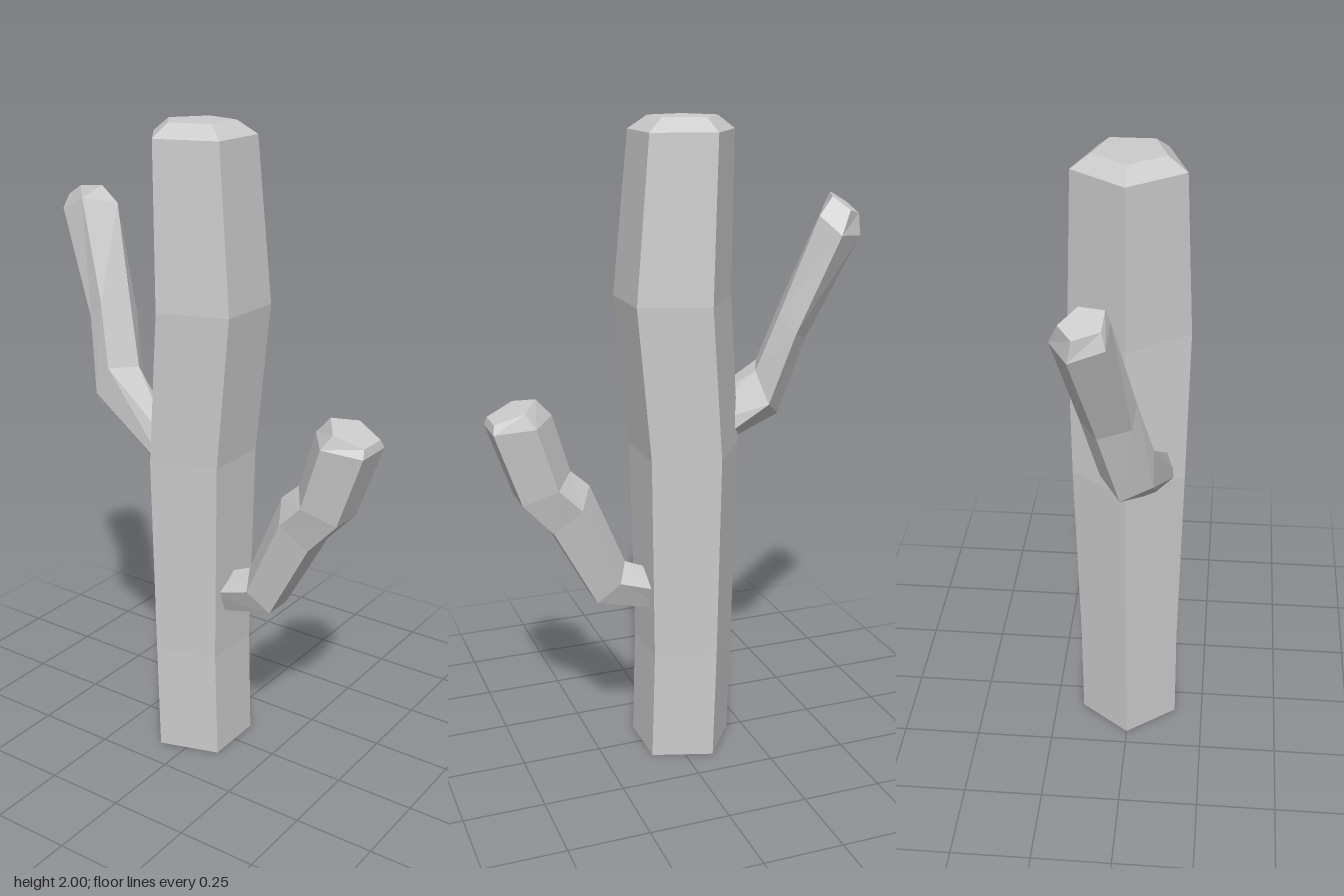
import * as THREE from 'three';

const V = (p) => new THREE.Vector3(...p);

// Pentagon from its ridge point, the middle of its flat side and a sideways vector
function pentagon([ridge, flat, side]) {
  const a = V(ridge), b = V(flat), s = V(side);
  const up = a.clone().sub(b).divideScalar(1.809); // ridge to flat = r * (1 + cos 36)
  const r = up.length();
  const centre = a.clone().sub(up);
  return Array.from({ length: 5 }, (_, k) => {
    const t = (k * Math.PI * 2) / 5;
    return centre.clone().addScaledVector(up, Math.cos(t)).addScaledVector(s, r * Math.sin(t));
  });
}

// Closed five-sided limb through a list of sections
function limb(name, sections, material) {
  const rings = sections.map(pentagon);
  const pos = [];
  const tri = (...pts) => pts.forEach((p) => pos.push(p.x, p.y, p.z));
  for (let n = 0; n < rings.length - 1; n++) {
    const lo = rings[n], hi = rings[n + 1];
    for (let i = 0; i < 5; i++) {
      const j = (i + 1) % 5;
      tri(lo[j], lo[i], hi[i]);
      tri(lo[j], hi[i], hi[j]);
    }
  }
  const first = rings[0], last = rings[rings.length - 1];
  for (let i = 1; i < 4; i++) {
    tri(first[0], first[i], first[i + 1]);
    tri(last[0], last[i + 1], last[i]);
  }
  const geometry = new THREE.BufferGeometry();
  geometry.setAttribute('position', new THREE.Float32BufferAttribute(pos, 3));
  geometry.computeVertexNormals();
  const mesh = new THREE.Mesh(geometry, material);
  mesh.name = name;
  return mesh;
}

export function createModel() {
  const group = new THREE.Group();
  group.name = 'cactus';
  const material = new THREE.MeshStandardMaterial({ color: 0xcccccc, flatShading: true });

  // Trunk: height, back z, front z
  const trunk = [
    [0, -0.2, 0.1], [0.35, -0.21, 0.09], [1.0, -0.225, 0.1],
    [1.47, -0.195, 0.145], [1.96, -0.2, 0.1], [2.0, -0.145, 0.05],
  ].map(([y, back, front]) => [[0, y, back], [0, y, front], [1, 0, 0]]);
  group.add(limb('trunk', trunk, material));

  // Front arm: ridge z, y, underside z, y, width factor
  const frontArm = [
    [0.03, 0.595, 0.03, 0.485, 1.3],
    [0.154, 0.647, 0.26, 0.54, 1],
    [0.265, 0.912, 0.395, 0.79, 1],
    [0.324, 0.965, 0.488, 0.891, 1],
    [0.377, 1.146, 0.568, 1.119, 1],
    [0.424, 1.199, 0.562, 1.146, 1],
  ].map(([rz, ry, fz, fy, w]) => [[0, ry, rz], [0, fy, fz], [w, 0, 0]]);
  group.add(limb('frontArm', frontArm, material));

  // Back arm: outer ridge, inner flat, sideways vector
  const backArm = [
    [[-0.085, 0.92, -0.085], [-0.09, 1.04, -0.06], [1.02, 0, -0.5]],
    [[0.004, 1.08, -0.357], [-0.042, 1.23, -0.3], [0.9, -0.1, 0.41]],
    [[0.06, 1.33, -0.42], [0, 1.42, -0.36], [1.16, -0.13, 0.52]],
    [[0.115, 1.645, -0.565], [0.06, 1.72, -0.462], [1.07, -0.25, 0.69]],
    [[0.102, 1.71, -0.565], [0.058, 1.765, -0.493], [1.08, -0.1, 0.42]],
  ];
  group.add(limb('backArm', backArm, material));

  return group;
}
